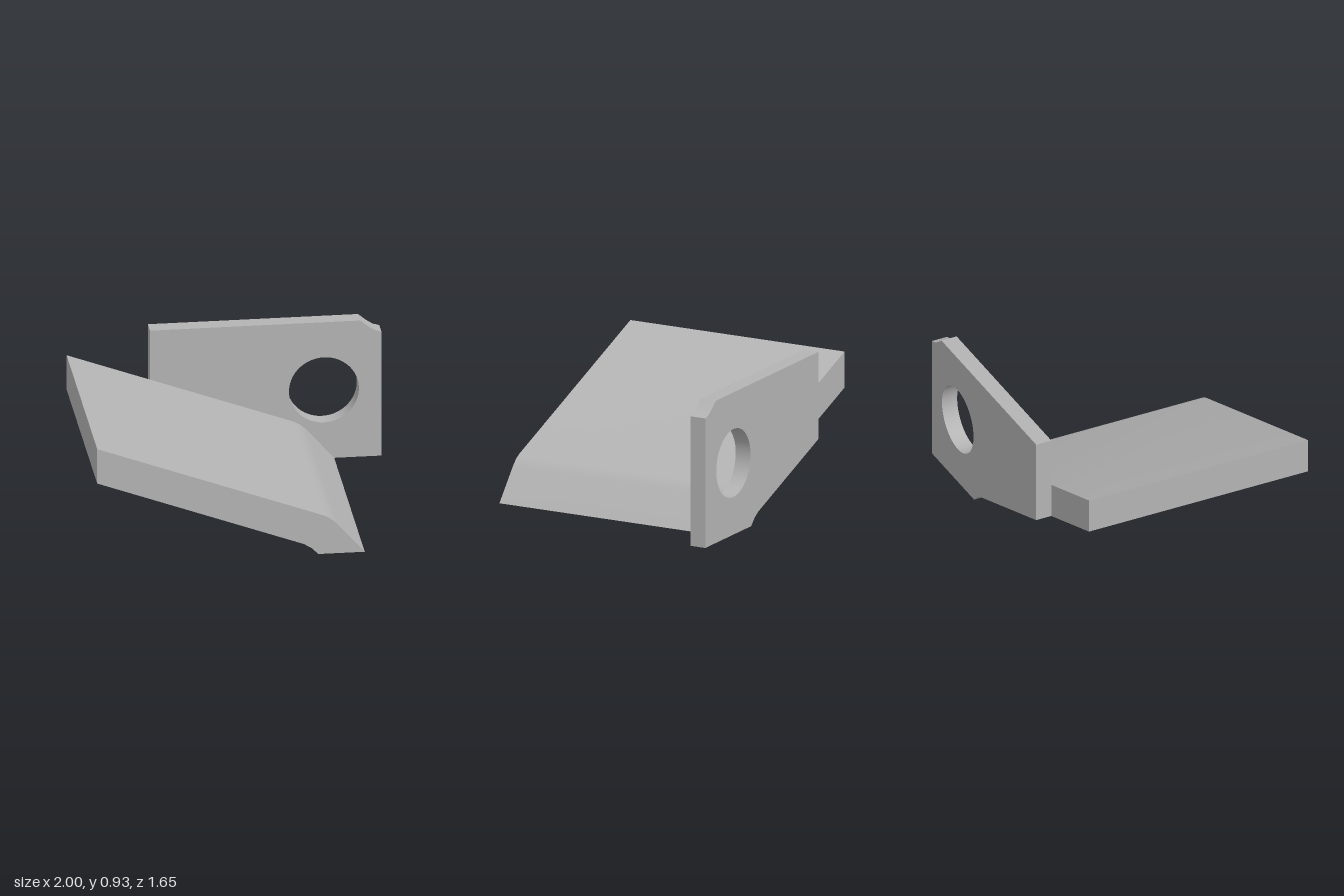
import * as THREE from 'three';
import { toCreasedNormals } from 'three/addons/utils/BufferGeometryUtils.js';

export function createModel() {
  const group = new THREE.Group();
  const grey = new THREE.MeshStandardMaterial({ color: 0xb4b4b4 });
  grey.name = 'plain grey';

  // Extrude a front-facing profile between two depths, rounding only soft bends
  function slab(name, shape, zBack, zFront) {
    const geo = new THREE.ExtrudeGeometry(shape, {
      depth: zFront - zBack, bevelEnabled: false, curveSegments: 48,
    });
    geo.translate(0, 0, zBack);
    const mesh = new THREE.Mesh(toCreasedNormals(geo, 0.4), grey);
    mesh.name = name;
    group.add(mesh);
  }

  const points = (list) => list.map(([x, y]) => new THREE.Vector2(x, y));

  // Sloping ramp with a softened bend down to the ground
  const ramp = new THREE.Shape(points([
    [-1, 0.555], [0.313, 0.073], [0.36, 0.045], [0.405, 0], [0.7, 0],
    [0.53, 0.194], [0.505, 0.22], [0.475, 0.244], [0.44, 0.262], [-1, 0.79],
  ]));
  slab('ramp', ramp, -0.72, 0.825);

  // Upright back plate: underside follows the ramp, top corner is clipped
  const plate = new THREE.Shape(points([
    [-0.47, 0.361], [0.313, 0.073], [0.36, 0.045], [0.405, 0], [1, 0],
    [1, 0.847], [0.955, 0.861], [0.91, 0.892], [0.865, 0.93], [-0.47, 0.93],
  ]));
  const hole = new THREE.Path();
  hole.absarc(0.635, 0.468, 0.222, 0, Math.PI * 2, true);
  plate.holes.push(hole);
  slab('backPlate', plate, -0.827, -0.72);

  return group;
}
